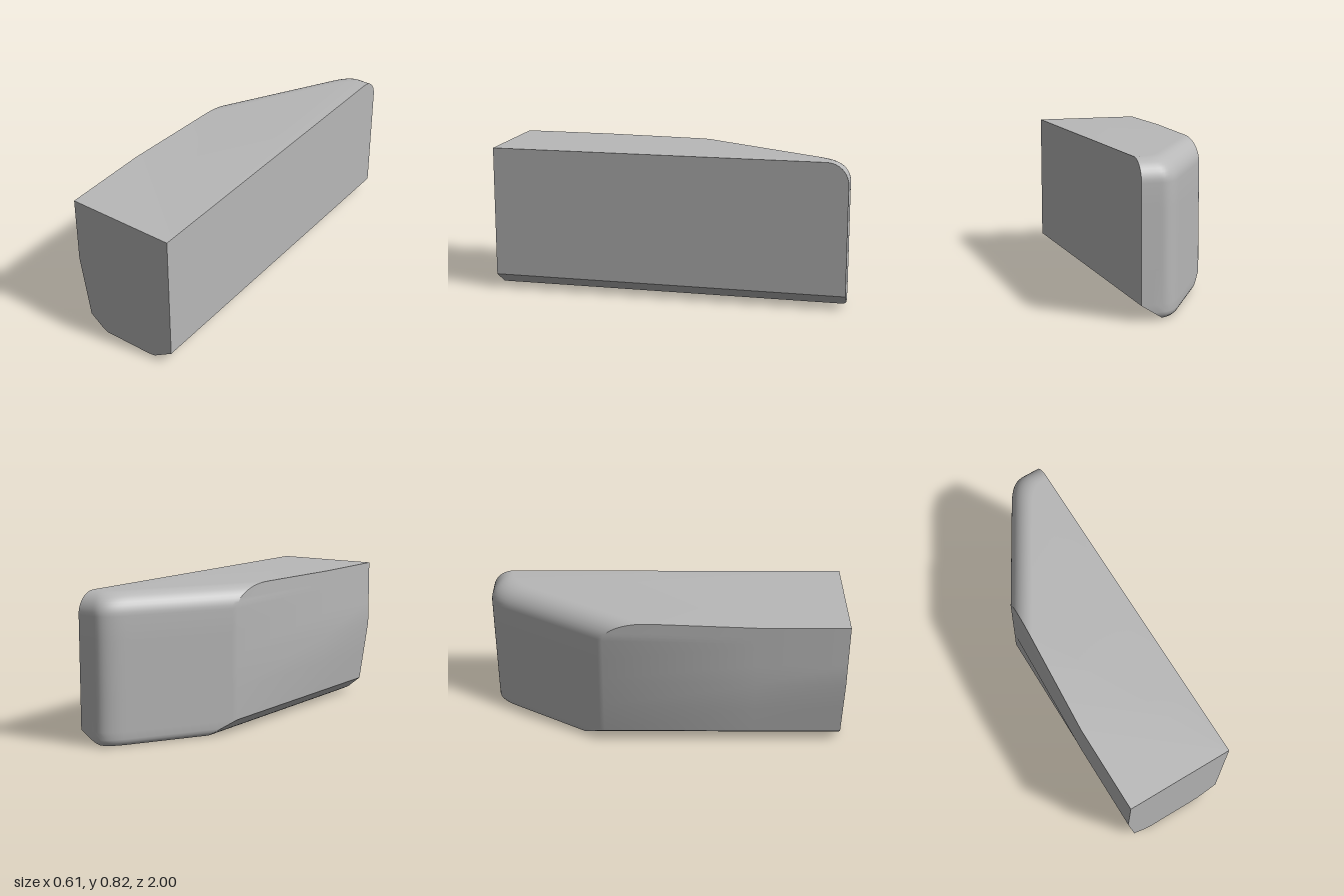
import * as THREE from 'three';
import { toCreasedNormals } from 'three/addons/utils/BufferGeometryUtils.js';

const HEIGHT = 0.816, TOP_ROUND = 0.12, BOTTOM_ROUND = 0.04;
const SLOPE = 1.69, COLUMNS = 36;

// Piecewise linear lookup through [y, value] points
function profile(points, y) {
  for (let i = 1; i < points.length; i++) {
    const [y0, v0] = points[i - 1], [y1, v1] = points[i];
    if (y <= y1) return v0 + (v1 - v0) * (y - y0) / (y1 - y0);
  }
  return points[points.length - 1][1];
}
const rightEdge = [[0, -0.14], [0.015, -0.17], [0.08, -0.25], [0.44, -0.305]];
const waistEdge = [[0, -0.14], [0.015, -0.17], [0.08, -0.25]];
const leftEdge = [[0, 0.15], [0.006, 0.19], [0.08, 0.305]];

// Rounding of the back walls near the top and the bottom
function inset(y) {
  const round = (r, t) => (t >= r ? 0 : r - Math.sqrt(r * r - (r - t) ** 2));
  return round(TOP_ROUND, HEIGHT - y) + round(BOTTOM_ROUND, y);
}

// Slanted wall blended softly into the straight back wall
function backZ(x, d) {
  const slant = -0.35 - (x + 0.25) * SLOPE + d * Math.hypot(1, SLOPE);
  const flat = -1 + d, k = 0.1;
  const h = Math.max(k - Math.abs(slant - flat), 0) / k;
  return Math.max(slant, flat) + h * h * k / 4;
}

// Horizontal cross-section at one height
function section(y) {
  const d = inset(y);
  const front = profile(rightEdge, y), waist = profile(waistEdge, y), left = profile(leftEdge, y);
  let x = waist;
  for (let i = 0; i < 12; i++) {
    const t = THREE.MathUtils.clamp((backZ(x, d) + 0.35) / 0.85, 0, 1);
    x = waist + (front - waist) * t;
  }
  const loop = [[left, y, 1], [front, y, 1], [front, y, 0.5]];
  for (let i = 0; i <= COLUMNS; i++) {
    const cx = x + (left - x) * i / COLUMNS;
    loop.push([cx, y, backZ(cx, d)]);
  }
  return loop;
}

function bodyGeometry() {
  const heights = [0, 0.003, 0.006, 0.015, 0.026, 0.04, 0.08, 0.26, 0.44, 0.57];
  for (let i = 0; i <= 10; i++) {
    heights.push(HEIGHT - TOP_ROUND + TOP_ROUND * Math.sin(i / 10 * Math.PI / 2));
  }
  const rows = heights.map(section), n = rows[0].length, index = [];
  for (let r = 0; r < rows.length - 1; r++) {
    for (let i = 0; i < n; i++) {
      const a = r * n + i, b = r * n + (i + 1) % n;
      index.push(b, a, a + n, b, a + n, b + n);
    }
  }
  // Flat top and underside
  const top = (rows.length - 1) * n;
  for (let i = 1; i < n - 1; i++) {
    index.push(top, top + i + 1, top + i, 0, i, i + 1);
  }
  const geometry = new THREE.BufferGeometry();
  geometry.setAttribute('position', new THREE.Float32BufferAttribute(rows.flat(2), 3));
  geometry.setIndex(index);
  return toCreasedNormals(geometry.toNonIndexed(), 0.6);
}

export function createModel() {
  const group = new THREE.Group();
  group.name = 'roundedBlock';
  const grey = new THREE.MeshStandardMaterial({ color: 0xb8b8b8 });
  grey.name = 'grey';
  const body = new THREE.Mesh(bodyGeometry(), grey);
  body.name = 'body';
  group.add(body);
  return group;
}
